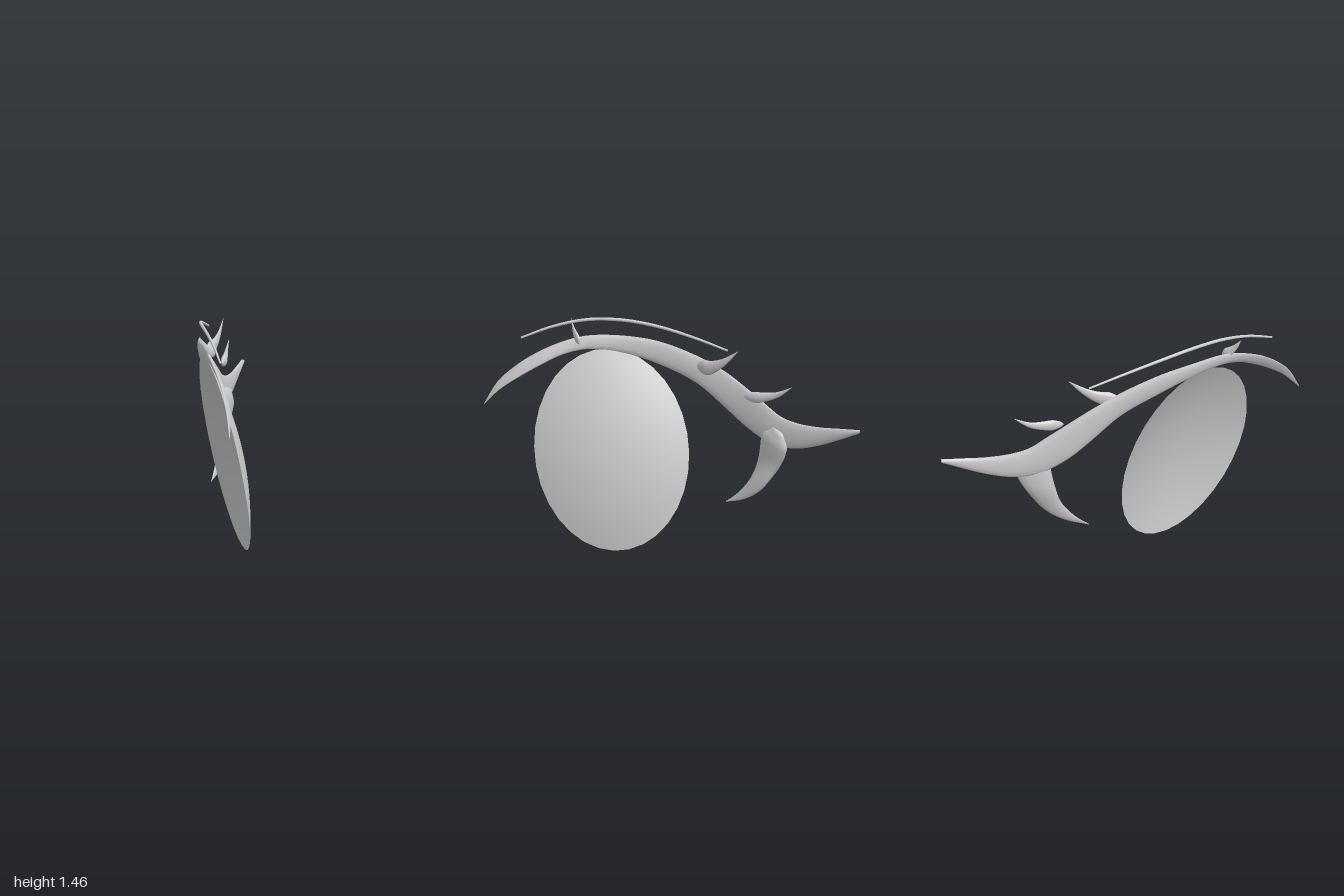
import * as THREE from 'three';

const grey = new THREE.MeshStandardMaterial({ color: 0xcccccc, side: THREE.DoubleSide });
grey.name = 'pale grey';

const UP = new THREE.Vector3(0, 1, 0);
const SIDES = 12;
const curveOf = (pts) => new THREE.CatmullRomCurve3(pts.map((p) => new THREE.Vector3(...p)), false, 'centripetal');

// Skin of elliptical rings; each ring has a centre c, a half width w and a half thickness n
function loft(rings) {
  const pos = [], index = [];
  rings.forEach(({ c, w, n }, i) => {
    for (let j = 0; j < SIDES; j++) {
      const a = (j / SIDES) * Math.PI * 2;
      const p = c.clone().addScaledVector(w, Math.cos(a)).addScaledVector(n, Math.sin(a));
      pos.push(p.x, p.y, p.z);
      if (i === rings.length - 1) continue;
      const k = (j + 1) % SIDES, A = i * SIDES, B = A + SIDES;
      index.push(A + j, A + k, B + j, A + k, B + k, B + j);
    }
  });
  // end caps
  const last = (rings.length - 1) * SIDES;
  for (let j = 1; j < SIDES - 1; j++) index.push(0, j + 1, j, last, last + j, last + j + 1);
  const g = new THREE.BufferGeometry();
  g.setAttribute('position', new THREE.Float32BufferAttribute(pos, 3));
  g.setIndex(index);
  g.computeVertexNormals();
  return g;
}

// Blade along a path: rounded at the root, widest early, pointed at the tip
function blade(points, width, thick, widthDir, profile) {
  const curve = curveOf(points), rings = [], N = 20;
  for (let i = 0; i <= N; i++) {
    const t = i / N, s = Math.max(profile(t), 0.03);
    const T = curve.getTangent(t);
    const w = widthDir.clone().addScaledVector(T, -widthDir.dot(T)).normalize();
    const n = T.clone().cross(w);
    rings.push({ c: curve.getPoint(t), w: w.multiplyScalar(width * s), n: n.multiplyScalar(thick * s) });
  }
  return loft(rings);
}
const spike = (t) => Math.min(1, Math.sqrt(t / 0.22)) * Math.min(1, Math.pow((1 - t) / 0.72, 0.9));
const broadSpike = (t) => Math.min(1, 0.4 + t / 0.25) * Math.min(1, Math.pow((1 - t) / 0.75, 0.95));

// Upper lid stations: x, top edge z and y, bottom edge z and y
const LID = [
  [-1, -0.79, 0.968, -0.79, 0.944], [-0.9, -0.675, 0.952, -0.675, 0.875],
  [-0.8, -0.56, 0.937, -0.56, 0.812], [-0.7, -0.445, 0.937, -0.445, 0.768],
  [-0.62, -0.35, 0.96, -0.35, 0.76], [-0.55, -0.265, 1.02, -0.265, 0.778],
  [-0.45, -0.14, 1.11, -0.145, 0.85], [-0.35, -0.025, 1.19, -0.04, 0.95],
  [-0.2, 0.118, 1.27, 0.098, 1.09], [0, 0.29, 1.333, 0.27, 1.185],
  [0.2, 0.43, 1.347, 0.408, 1.24], [0.4, 0.535, 1.333, 0.51, 1.25],
  [0.55, 0.602, 1.283, 0.565, 1.21], [0.7, 0.662, 1.205, 0.612, 1.13],
  [0.82, 0.712, 1.115, 0.662, 1.05], [0.92, 0.756, 1.01, 0.72, 0.965],
  [1, 0.79, 0.86, 0.787, 0.855],
];

function lidGeometry() {
  const top = curveOf(LID.map(([x, z, y]) => [x, y, z]));
  const low = curveOf(LID.map(([x, , , z, y]) => [x, y, z]));
  const rings = [], N = 64;
  for (let i = 0; i <= N; i++) {
    const t = i / N, a = top.getPoint(t), b = low.getPoint(t);
    const w = a.clone().sub(b).multiplyScalar(0.5);
    const n = top.getTangent(t).setY(0).cross(w).normalize();
    const thick = 0.011 * (1 - t) + 0.011 * Math.sin(Math.PI * t) + 0.002;
    rings.push({ c: a.add(b).multiplyScalar(0.5), w, n: n.multiplyScalar(thick) });
  }
  return loft(rings);
}

// Oval bowl, hollow to the front, leaning with the lid
function irisGeometry() {
  const profile = [];
  for (let i = 0; i <= 10; i++) profile.push(new THREE.Vector2(i / 10, (i / 10) ** 2 - 1));
  const g = new THREE.LatheGeometry(profile, 32);
  const across = new THREE.Vector3(0.45, 0, 0.212);
  const down = new THREE.Vector3(0.03, -0.63, -0.14);
  const front = down.clone().cross(across).normalize().multiplyScalar(0.1);
  const m = new THREE.Matrix4().makeBasis(across, front, down).setPosition(0.3, 0.63, 0.31);
  return g.applyMatrix4(m);
}

export function createModel() {
  const group = new THREE.Group();
  const add = (name, geometry) => {
    const mesh = new THREE.Mesh(geometry, grey);
    mesh.name = name;
    group.add(mesh);
  };

  add('iris', irisGeometry());
  add('upperLid', lidGeometry());

  // Thin crease line above the lid
  add('lidCrease', blade(
    [[-0.36, 1.335, -0.05], [-0.2, 1.385, 0.105], [0, 1.432, 0.28], [0.2, 1.453, 0.42],
      [0.4, 1.441, 0.53], [0.6, 1.387, 0.62], [0.78, 1.306, 0.7]],
    0.011, 0.01, UP, (t) => 0.6 + 0.4 * Math.sin(Math.PI * t)));

  // Lashes on top of the lid
  add('innerLash', blade(
    [[-0.2, 1.208, 0.088], [-0.25, 1.218, 0], [-0.31, 1.27, -0.09], [-0.385, 1.367, -0.185]],
    0.05, 0.022, UP, spike));
  add('outerLash', blade(
    [[-0.42, 1.07, -0.2], [-0.5, 1.08, -0.28], [-0.59, 1.112, -0.36], [-0.665, 1.177, -0.437]],
    0.037, 0.02, UP, spike));
  add('frontLash', blade(
    [[0.455, 1.293, 0.505], [0.46, 1.33, 0.55], [0.465, 1.37, 0.592], [0.467, 1.427, 0.632]],
    0.032, 0.014, UP, spike));

  // Broad lash hanging below the outer corner
  add('lowerLash', blade(
    [[-0.59, 0.875, -0.375], [-0.575, 0.78, -0.345], [-0.55, 0.64, -0.295], [-0.49, 0.5, -0.245],
      [-0.42, 0.4, -0.16], [-0.345, 0.333, -0.06]],
    0.108, 0.032, new THREE.Vector3(0.5, 0, 0.86), broadSpike));

  return group;
}
